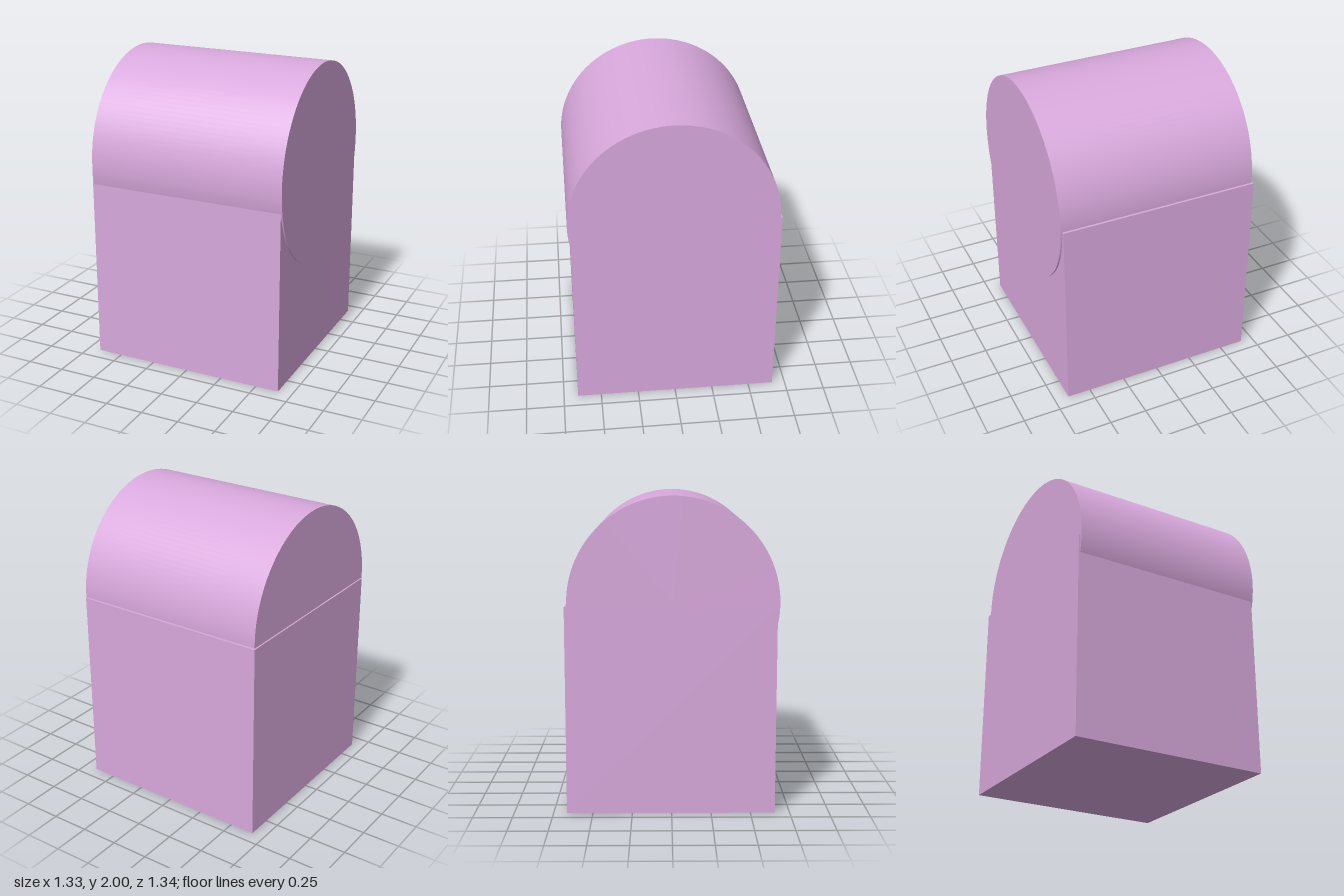
import * as THREE from 'three';

export function createModel() {
  const model = new THREE.Group();
  const material = new THREE.MeshStandardMaterial({ color: 0xd8a8dc });
  const size = 1.32; // cube edge, also the barrel's length and diameter
  const offset = 0.005; // slight misalignment between the two parts

  // Cube base
  const base = new THREE.Mesh(new THREE.BoxGeometry(size, size, size), material);
  base.name = 'base';
  base.position.set(-offset, size / 2, -offset);
  model.add(base);

  // Barrel lying across the base, half sunk into it
  const barrelGeometry = new THREE.CylinderGeometry(size / 2, size / 2, size, 128);
  barrelGeometry.rotateZ(Math.PI / 2);
  const barrel = new THREE.Mesh(barrelGeometry, material);
  barrel.name = 'barrelTop';
  barrel.position.set(offset, 2 - size / 2, 0.01);
  model.add(barrel);

  return model;
}
